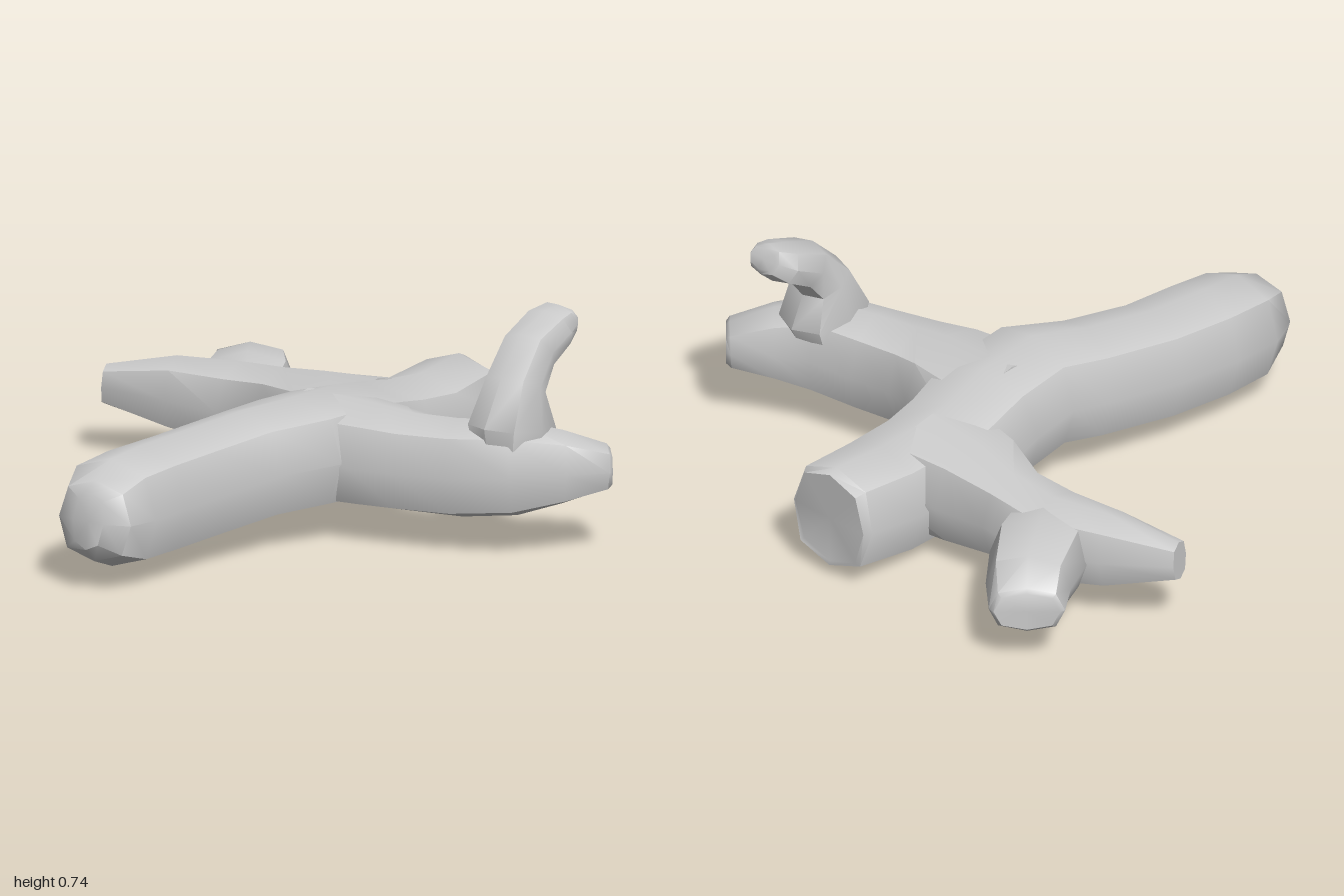
import * as THREE from 'three';
import { toCreasedNormals } from 'three/addons/utils/BufferGeometryUtils.js';

const bark = new THREE.MeshStandardMaterial({ color: 0xcccccc });
bark.name = 'lightGrey';

// Softly squared octagon: points at the sides, top and bottom, firm corners between
const C = 0.76;
const SECTION = [[1, 0], [C, C], [0, 1], [-C, C], [-1, 0], [-C, -C], [0, -1], [C, -C]];

// Lofts a limb through stations [x, y, z, halfWidth, halfHeight] and caps both ends
function limb(name, stations, up = new THREE.Vector3(0, 1, 0)) {
  const centres = stations.map(s => new THREE.Vector3(s[0], s[1], s[2]));
  const last = centres.length - 1;
  const n = SECTION.length;
  const positions = [];
  const index = [];

  stations.forEach(([, , , w, h], i) => {
    const t = centres[Math.min(i + 1, last)].clone()
      .sub(centres[Math.max(i - 1, 0)]).normalize();
    const side = up.clone().cross(t).normalize();
    const rise = t.clone().cross(side);
    for (const [a, b] of SECTION) {
      const p = centres[i].clone().addScaledVector(side, a * w).addScaledVector(rise, b * h);
      positions.push(p.x, p.y, p.z);
    }
  });
  positions.push(...centres[0].toArray(), ...centres[last].toArray());
  const startCap = n * (last + 1);

  for (let j = 0; j < n; j++) {
    const k = (j + 1) % n;
    for (let i = 0; i < last; i++) {
      const a = i * n + j, b = i * n + k;
      index.push(a, b, b + n, a, b + n, a + n);
    }
    index.push(startCap, k, j, startCap + 1, last * n + j, last * n + k);
  }

  const geometry = new THREE.BufferGeometry();
  geometry.setAttribute('position', new THREE.Float32BufferAttribute(positions, 3));
  geometry.setIndex(index);
  const mesh = new THREE.Mesh(toCreasedNormals(geometry, 0.85), bark);
  mesh.name = name;
  return mesh;
}

export function createModel() {
  const group = new THREE.Group();
  group.name = 'forkedBranch';

  // Main stem, blunt at the front and sawn flat at the back
  group.add(limb('stem', [
    [-0.03, 0.23, 0.965, 0.06, 0.09],
    [-0.03, 0.225, 0.93, 0.13, 0.13],
    [-0.05, 0.225, 0.82, 0.17, 0.175],
    [-0.05, 0.23, 0.66, 0.18, 0.18],
    [-0.035, 0.235, 0.45, 0.175, 0.18],
    [0.01, 0.255, 0.2, 0.18, 0.18],
    [0.07, 0.27, 0.04, 0.21, 0.18],
    [0.055, 0.25, -0.18, 0.21, 0.185],
    [0.02, 0.215, -0.35, 0.2, 0.185],
    [0.015, 0.195, -0.5, 0.185, 0.18],
    [0.02, 0.18, -0.68, 0.18, 0.18],
    [0.005, 0.205, -0.905, 0.165, 0.17],
    [0.005, 0.205, -0.92, 0.15, 0.155],
  ]));

  // Left branch, bending back towards its tip
  group.add(limb('leftBranch', [
    [0, 0.26, -0.12, 0.24, 0.17],
    [0.29, 0.26, -0.125, 0.19, 0.165],
    [0.4, 0.255, -0.14, 0.165, 0.16],
    [0.56, 0.255, -0.18, 0.15, 0.16],
    [0.73, 0.27, -0.24, 0.14, 0.155],
    [0.84, 0.27, -0.34, 0.11, 0.12],
    [0.935, 0.265, -0.44, 0.085, 0.075],
    [0.945, 0.265, -0.45, 0.07, 0.06],
  ]));

  // Upturned twig on the left branch
  group.add(limb('leftTwig', [
    [0.71, 0.26, -0.23, 0.09, 0.09],
    [0.715, 0.4, -0.245, 0.12, 0.145],
    [0.71, 0.53, -0.27, 0.095, 0.085],
    [0.695, 0.62, -0.36, 0.09, 0.075],
    [0.69, 0.67, -0.47, 0.09, 0.065],
    [0.7, 0.695, -0.52, 0.07, 0.05],
    [0.7, 0.7, -0.53, 0.055, 0.035],
  ], new THREE.Vector3(0, 0.6, 0.8)));

  // Right branch, tapering into its front fork
  group.add(limb('rightBranch', [
    [0.02, 0.21, -0.46, 0.23, 0.18],
    [-0.2, 0.205, -0.465, 0.185, 0.17],
    [-0.38, 0.205, -0.49, 0.13, 0.145],
    [-0.56, 0.2, -0.49, 0.14, 0.14],
    [-0.77, 0.215, -0.435, 0.105, 0.12],
    [-0.98, 0.225, -0.35, 0.05, 0.065],
  ]));

  // Rear fork of the right branch
  group.add(limb('rightFork', [
    [-0.5, 0.2, -0.46, 0.11, 0.11],
    [-0.62, 0.2, -0.61, 0.16, 0.135],
    [-0.73, 0.2, -0.77, 0.135, 0.11],
    [-0.82, 0.19, -0.865, 0.12, 0.08],
    [-0.83, 0.19, -0.875, 0.105, 0.065],
  ]));

  return group;
}
